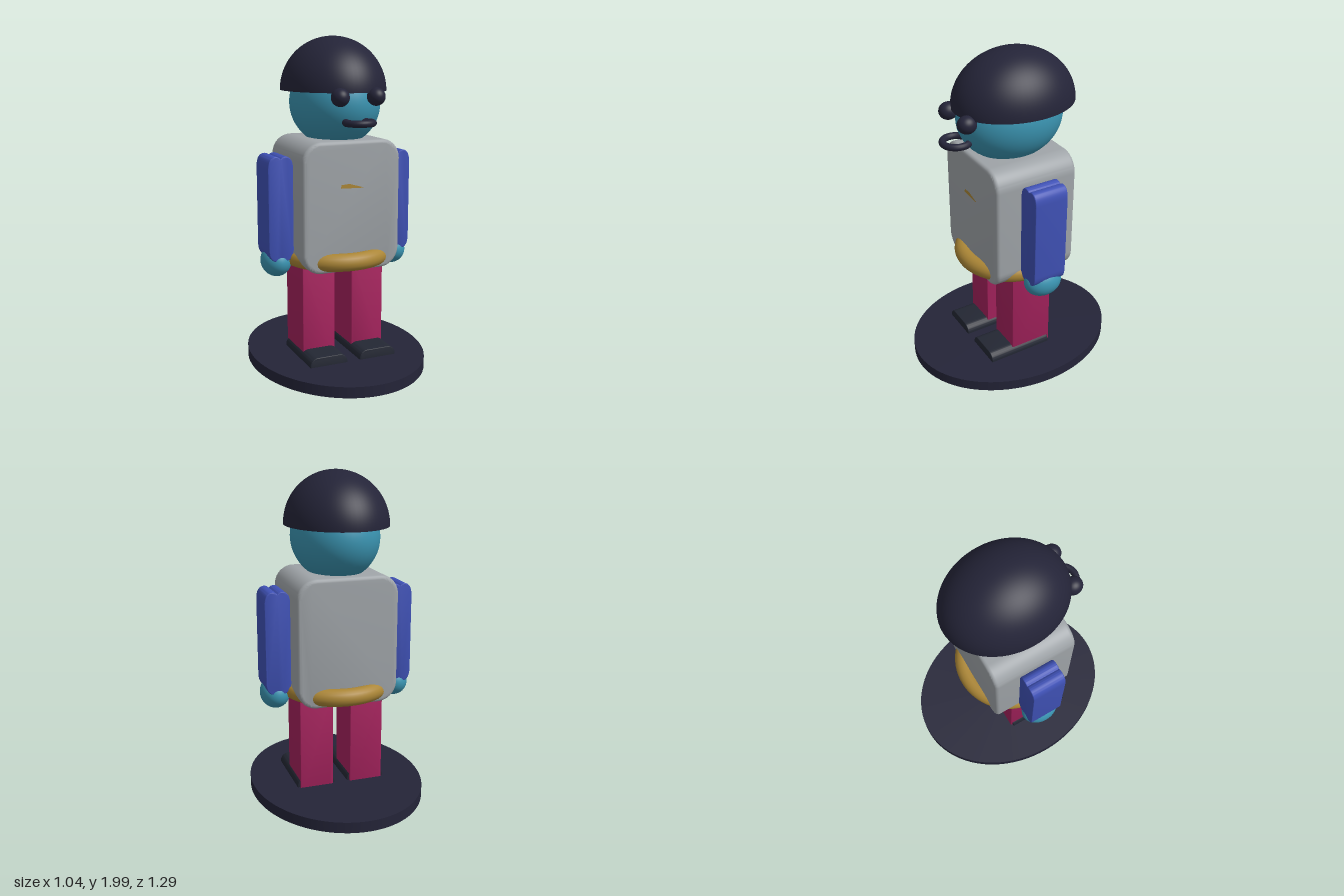
import * as THREE from 'three';
import { toCreasedNormals } from 'three/addons/utils/BufferGeometryUtils.js';

const paint = (name, color) => {
  const m = new THREE.MeshStandardMaterial({ color });
  m.name = name;
  return m;
};

// Rounded rectangle centred on (0, 0)
function roundedRect(w, h, r) {
  const x = w / 2, y = h / 2;
  const s = new THREE.Shape();
  s.moveTo(-x + r, -y);
  s.lineTo(x - r, -y).absarc(x - r, -y + r, r, -Math.PI / 2, 0);
  s.lineTo(x, y - r).absarc(x - r, y - r, r, 0, Math.PI / 2);
  s.lineTo(-x + r, y).absarc(-x + r, y - r, r, Math.PI / 2, Math.PI);
  s.lineTo(-x, -y + r).absarc(-x + r, -y + r, r, Math.PI, Math.PI * 1.5);
  return s;
}

// Sleeve outline with a small notch in the middle of both ends
function sleeveShape(w, h) {
  const x = w / 2, y = h / 2, c = 0.07, peak = 0.03, dip = 0.013;
  const s = new THREE.Shape();
  s.moveTo(x, -y + c);
  s.lineTo(x, y - c);
  s.quadraticCurveTo(x - 0.003, y - 0.002, peak, y);
  s.quadraticCurveTo(0.012, y, 0, y - dip);
  s.quadraticCurveTo(-0.012, y, -peak, y);
  s.quadraticCurveTo(-x + 0.003, y - 0.002, -x, y - c);
  s.lineTo(-x, -y + c);
  s.quadraticCurveTo(-x + 0.003, -y + 0.002, -peak, -y);
  s.quadraticCurveTo(-0.012, -y, 0, -y + dip);
  s.quadraticCurveTo(0.012, -y, peak, -y);
  s.quadraticCurveTo(x - 0.003, -y + 0.002, x, -y + c);
  return s;
}

// Leg outline with an uneven foot end, lowest towards the outer side
function legShape(side) {
  const pts = [[0.055, 0.7], [0.055, 0.05], [0.075, 0.022], [0.11, 0.024],
    [0.19, 0.01], [0.225, 0.012], [0.245, 0.025], [0.26, 0.055], [0.26, 0.7]];
  return new THREE.Shape(pts.map(([x, y]) => new THREE.Vector2(side * x, y)));
}

// Extrusion centred in depth; the bevel stays inside the outline
function slab(shape, depth, bevel) {
  const g = new THREE.ExtrudeGeometry(shape, {
    depth: depth - 2 * bevel, curveSegments: 10, bevelEnabled: bevel > 0,
    bevelThickness: bevel, bevelSize: bevel, bevelOffset: -bevel, bevelSegments: 4,
  });
  g.translate(0, 0, -depth / 2 + bevel);
  return toCreasedNormals(g, 0.6);
}

export function createModel() {
  const group = new THREE.Group();
  const navy = paint('navy', 0x242438);
  const hairNavy = paint('hair navy', 0x242438);
  hairNavy.side = THREE.DoubleSide;
  const shoeBlack = paint('shoe black', 0x232733);
  const skin = paint('teal skin', 0x3a93b0);
  const grey = paint('shirt grey', 0x9fa4a8);
  const blue = paint('sleeve blue', 0x3f51b5);
  const pink = paint('trouser pink', 0xa5225d);
  const gold = paint('belt gold', 0xab8636);

  const add = (name, geo, mat, x = 0, y = 0, z = 0, scale = [1, 1, 1]) => {
    const mesh = new THREE.Mesh(geo, mat);
    mesh.name = name;
    mesh.position.set(x, y, z);
    mesh.scale.set(...scale);
    group.add(mesh);
    return mesh;
  };
  const ball = new THREE.SphereGeometry(1, 48, 32);

  // Oval stand
  add('base', new THREE.CylinderGeometry(1, 1, 0.065, 80), navy, 0, 0.0825, 0, [0.522, 1, 0.645]);

  // Body, belt ring and chest mark
  add('torso', slab(roundedRect(0.605, 0.76, 0.115), 0.52, 0.022), grey, 0, 1.04);
  add('belt', new THREE.TorusGeometry(0.288, 0.052, 20, 72).rotateX(Math.PI / 2), gold, 0, 0.724);
  const mark = new THREE.Shape([[-0.075, -0.008], [0.075, -0.012], [-0.02, 0.016], [-0.07, 0.012]]
    .map(([x, y]) => new THREE.Vector2(x, y)));
  add('chestMark', new THREE.ShapeGeometry(mark), gold, 0, 1.16, 0.2615);

  // Head and half-dome hair
  add('head', ball, skin, 0, 1.62, 0, [0.256, 0.26, 0.318]);
  add('hair', new THREE.SphereGeometry(1, 64, 24, 0, Math.PI * 2, 0, Math.PI / 2), hairNavy,
    0, 1.69, -0.025, [0.3, 0.31, 0.366]);
  add('mouth', new THREE.TorusGeometry(0.076, 0.02, 14, 40).rotateX(Math.PI / 2), navy, 0, 1.528, 0.342);

  // Mirrored parts
  for (const [side, label] of [[1, 'left'], [-1, 'right']]) {
    add(label + 'Eye', ball, navy, side * 0.109, 1.668, 0.328, [0.051, 0.051, 0.056]);
    add(label + 'Arm', slab(sleeveShape(0.152, 0.61), 0.208, 0.005), blue, side * 0.376, 1.025);
    add(label + 'Hand', ball, skin, side * 0.377, 0.702, 0, [0.088, 0.092, 0.116]);
    add(label + 'Leg', slab(legShape(side), 0.266, 0.005), pink);
    add(label + 'Shoe', slab(roundedRect(0.235, 0.11, 0.05), 0.406, 0.004), shoeBlack,
      side * 0.158, 0.115, 0.083);
  }
  return group;
}
